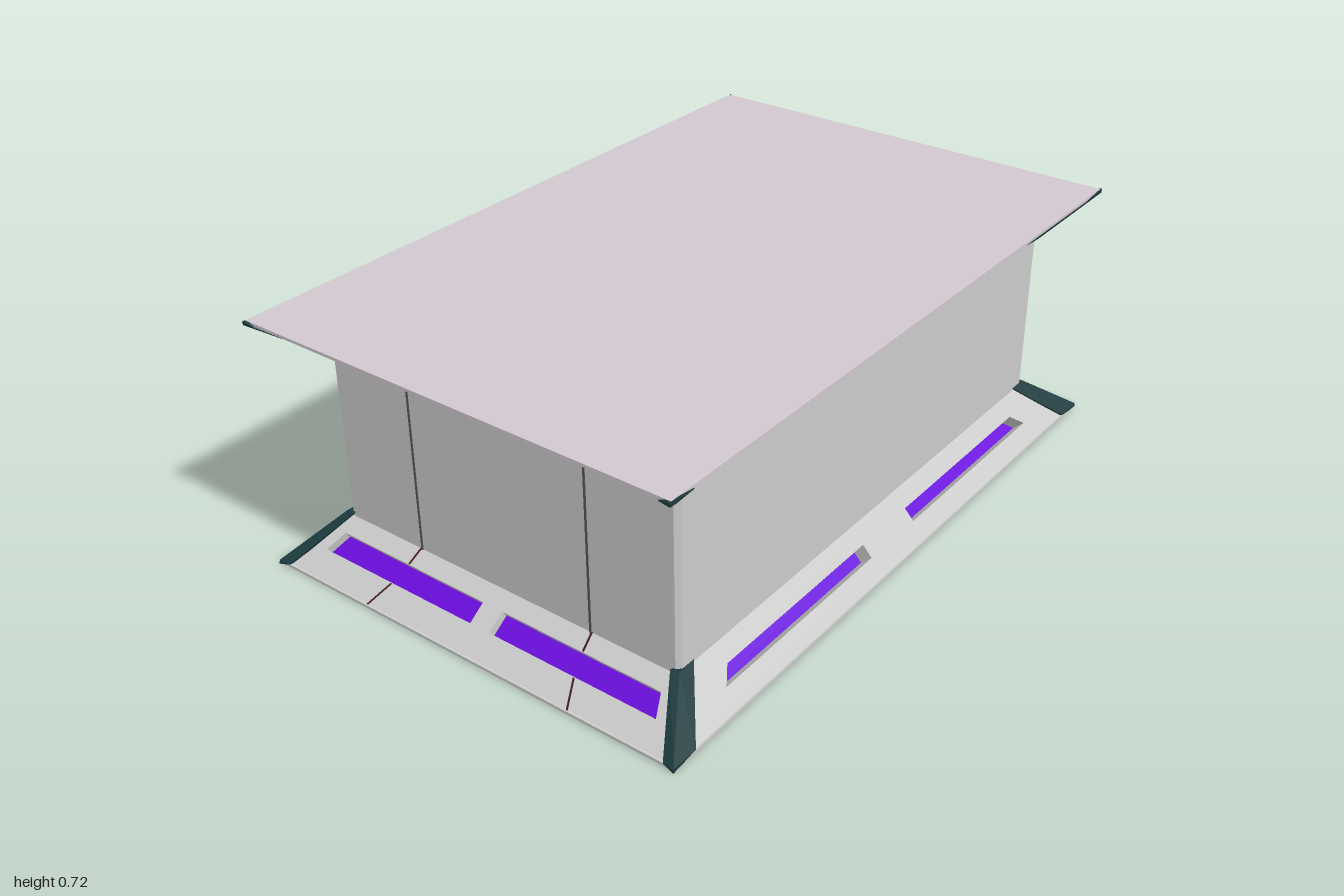
import * as THREE from 'three';
import { ConvexGeometry } from 'three/addons/geometries/ConvexGeometry.js';

const mat = (color, side = THREE.FrontSide) =>
  new THREE.MeshStandardMaterial({ color, side, flatShading: true });
const grey = mat(0xcccccc);
const greyThin = mat(0xcccccc, THREE.DoubleSide);
const lilac = mat(0xd2c8d0);
const teal = mat(0x1c3a3e);
const violet = mat(0x6a0cdc, THREE.DoubleSide);
const seamMat = mat(0x451c1e, THREE.DoubleSide);
const grooveMat = mat(0x555555);

const HEIGHT = 0.72;

function add(parent, name, geometry, material) {
  const mesh = new THREE.Mesh(geometry, material);
  mesh.name = name;
  parent.add(mesh);
  return mesh;
}

const polygon = (pts) => new THREE.Shape(pts.map(([x, y]) => new THREE.Vector2(x, y)));

// Four walls running from a slot outline down to the given depth
function slotWalls(pts, depth) {
  const pos = [];
  pts.forEach(([x, y], i) => {
    const [u, v] = pts[(i + 1) % pts.length];
    pos.push(x, y, 0, u, v, 0, u, v, -depth, x, y, 0, u, v, -depth, x, y, -depth);
  });
  const g = new THREE.BufferGeometry();
  g.setAttribute('position', new THREE.Float32BufferAttribute(pos, 3));
  g.computeVertexNormals();
  return g;
}

// Sloping panel: local x along the rim, y up the slope, z outward
function slopedPanel(name, p) {
  const panel = new THREE.Group();
  panel.name = name;
  const run = p.outer - p.inner, rise = p.top - 0.005;
  const len = Math.hypot(run, rise);
  panel.position.set(0, 0.005, p.outer);
  panel.rotation.x = -Math.atan2(run, rise);

  const face = polygon([[-p.wideBottom, 0], [p.wideBottom, 0], [p.wideTop, len], [-p.wideTop, len]]);
  const [v0, v1] = p.slotV.map((t) => t * len);
  for (const s of [-1, 1]) {
    const slot = [[s * p.slotIn, v0], [s * p.slotOutLow, v0], [s * p.slotOutHigh, v1], [s * p.slotIn, v1]];
    face.holes.push(polygon(slot));
    add(panel, 'slotWalls', slotWalls(slot, p.depth), greyThin);
    add(panel, 'slotLight', new THREE.ShapeGeometry(polygon(slot)), violet).position.z = -p.depth;
    // Fine seams that break at the slot
    for (const [x0, t0, x1, t1] of p.seams) {
      const w = 0.003;
      const line = polygon([[s * x0 - w, t0 * len], [s * x0 + w, t0 * len],
        [s * x1 + w, t1 * len], [s * x1 - w, t1 * len]]);
      add(panel, 'seam', new THREE.ShapeGeometry(line), seamMat).position.z = 0.0015;
    }
  }
  add(panel, 'panelFace', new THREE.ShapeGeometry(face), greyThin);
  return panel;
}

const LONG = {
  outer: 0.652, inner: 0.542, top: 0.125, wideBottom: 0.99, wideTop: 0.832,
  slotIn: 0.105, slotOutLow: 0.74, slotOutHigh: 0.7, slotV: [0.375, 0.625], depth: 0.042, seams: [],
};
const SHORT = {
  outer: 0.99, inner: 0.832, top: 0.115, wideBottom: 0.652, wideTop: 0.545,
  slotIn: 0.032, slotOutLow: 0.548, slotOutHigh: 0.525, slotV: [0.41, 0.72], depth: 0.024,
  seams: [[0.335, 0, 0.305, 0.4], [0.29, 0.73, 0.284, 1]],
};

// One flared rim: plate, four sloping panels and four corner guards
function createRim(name, plateMaterial) {
  const rim = new THREE.Group();
  rim.name = name;
  add(rim, 'plate', new THREE.BoxGeometry(1.985, 0.008, 1.306), plateMaterial).position.y = 0.004;
  for (let i = 0; i < 4; i++) {
    const side = new THREE.Group();
    side.name = i % 2 ? 'shortSide' : 'longSide';
    side.rotation.y = (i * Math.PI) / 2;
    side.add(slopedPanel('slopedPanel', i % 2 ? SHORT : LONG));
    rim.add(side);
  }
  const guard = [
    [0.915, 0.001, 0.65], [0.915, 0.01, 0.654], [1, 0.001, 0.655], [0.998, 0.012, 0.655],
    [0.985, 0.001, 0.622], [0.995, 0.01, 0.622],
    [0.78, 0.127, 0.546], [0.84, 0.127, 0.55], [0.842, 0.127, 0.525], [0.78, 0.12, 0.535],
  ];
  for (const sx of [-1, 1]) for (const sz of [-1, 1]) {
    const pts = guard.map(([x, y, z]) => new THREE.Vector3(sx * x, y, sz * z));
    add(rim, 'cornerGuard', new ConvexGeometry(pts), teal);
  }
  return rim;
}

export function createModel() {
  const model = new THREE.Group();
  model.name = 'crate';

  model.add(createRim('bottomRim', grey));
  const top = createRim('topRim', lilac);
  top.rotation.x = Math.PI;
  top.position.y = HEIGHT;
  model.add(top);

  // Main body with slightly chamfered upright corners
  const X = 0.834, Z = 0.546, c = 0.012;
  const plan = polygon([[-X + c, -Z], [X - c, -Z], [X, -Z + c], [X, Z - c],
    [X - c, Z], [-X + c, Z], [-X, Z - c], [-X, -Z + c]]);
  const bodyGeo = new THREE.ExtrudeGeometry(plan, { depth: 0.52, bevelEnabled: false });
  bodyGeo.rotateX(-Math.PI / 2);
  add(model, 'body', bodyGeo, grey).position.y = 0.1;

  // Upright joints on the right-hand wall
  for (const z of [-0.28, 0.28]) {
    add(model, 'wallJoint', new THREE.BoxGeometry(0.004, 0.5, 0.006), grooveMat)
      .position.set(-X, HEIGHT / 2, z);
  }
  return model;
}
